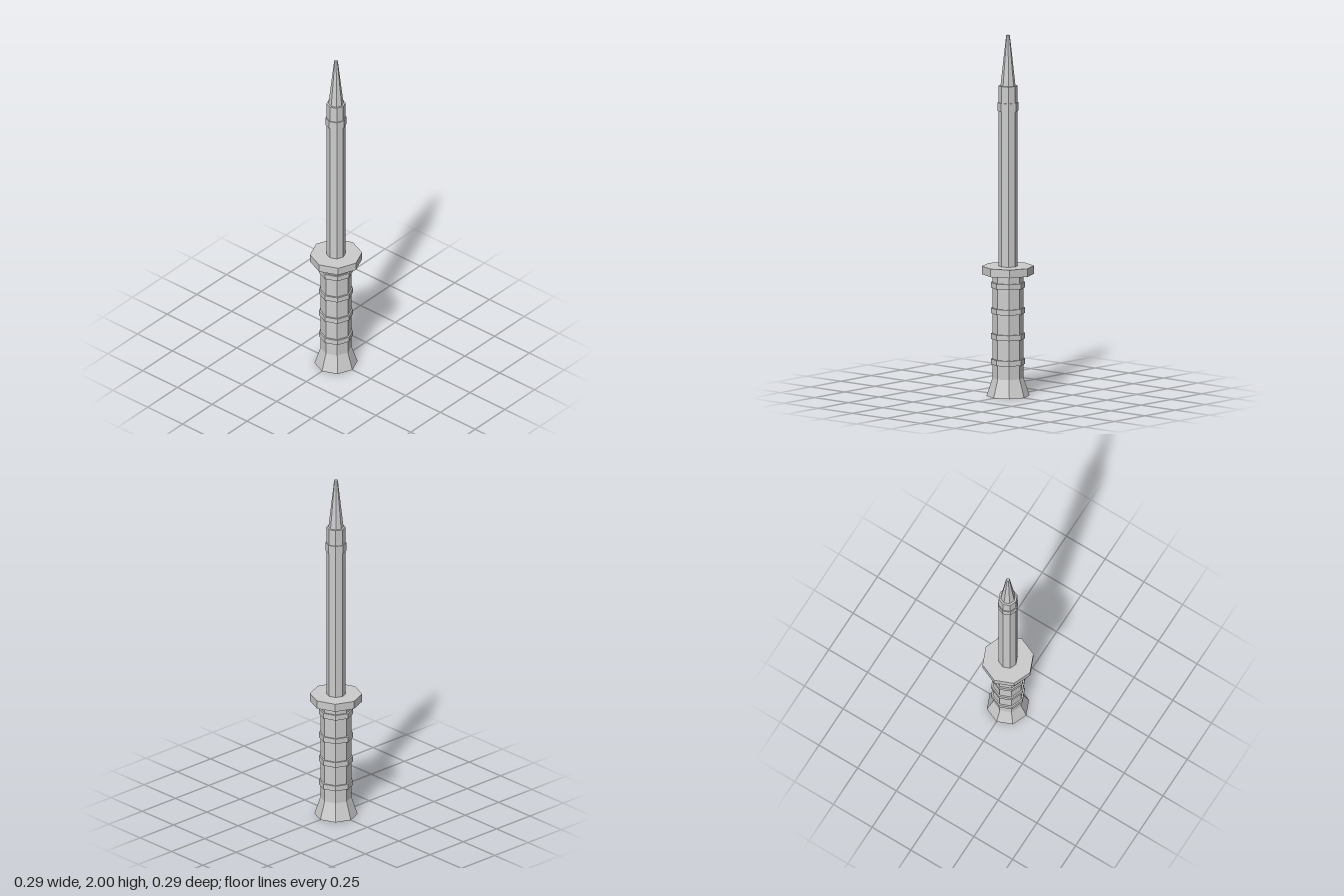
import * as THREE from 'three';

export function createModel() {
  const model = new THREE.Group();
  model.name = 'dagger';

  const metal = new THREE.MeshStandardMaterial({ color: 0xcccccc, flatShading: true });
  metal.name = 'light grey';

  // Eight-sided section standing between two heights, corners on the axes
  function section(name, y0, y1, bottomRadius, topRadius = bottomRadius) {
    const geometry = new THREE.CylinderGeometry(topRadius, bottomRadius, y1 - y0, 8);
    const mesh = new THREE.Mesh(geometry, metal);
    mesh.position.y = (y0 + y1) / 2;
    mesh.name = name;
    model.add(mesh);
  }

  // Handle: flared pommel, grip and four raised bands
  section('pommel', 0, 0.1, 0.118, 0.085);
  section('grip', 0.1, 0.675, 0.085);
  for (let i = 0; i < 4; i++) {
    const y = 0.191 + i * 0.1415;
    section('gripBand' + (i + 1), y - 0.015, y + 0.015, 0.094);
  }

  // Guard
  section('guard', 0.675, 0.72, 0.143);

  // Blade: shaft, collar and tapered tip
  section('shaft', 0.72, 1.72, 0.052);
  section('collar', 1.58, 1.627, 0.057);
  section('tip', 1.72, 2, 0.041, 0.01);

  return model;
}
